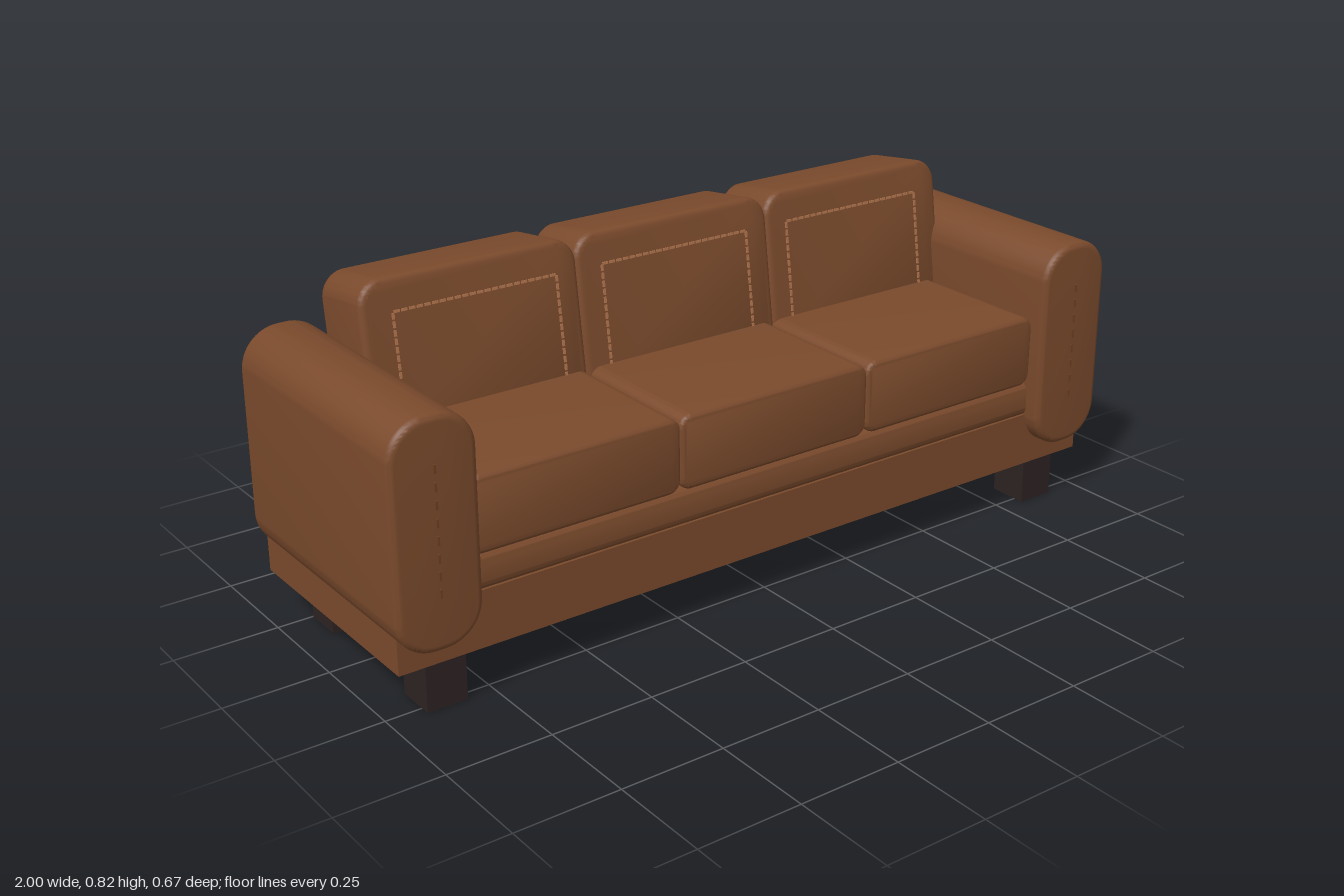
import * as THREE from 'three';
import { mergeGeometries, toCreasedNormals } from 'three/addons/utils/BufferGeometryUtils.js';

const leather = new THREE.MeshStandardMaterial({ color: 0x7a4a2c });
leather.name = 'brown leather';
const thread = new THREE.MeshStandardMaterial({ color: 0xae744c });
thread.name = 'tan thread';
const darkThread = new THREE.MeshStandardMaterial({ color: 0x6b3f24 });
darkThread.name = 'dark brown thread';
const darkWood = new THREE.MeshStandardMaterial({ color: 0x2d2222 });
darkWood.name = 'dark wood';

function add(parent, name, geometry, material, x = 0, y = 0, z = 0) {
  const mesh = new THREE.Mesh(geometry, material);
  mesh.name = name;
  mesh.position.set(x, y, z);
  parent.add(mesh);
  return mesh;
}

// Upholstered block: rounded outline in x and y, softly bevelled at both z ends
function padded(w, h, d, r, bevel) {
  const a = w / 2 - bevel, b = h / 2 - bevel, c = r - bevel;
  const s = new THREE.Shape();
  s.moveTo(-a + c, -b);
  s.lineTo(a - c, -b);
  s.absarc(a - c, -b + c, c, -Math.PI / 2, 0);
  s.lineTo(a, b - c);
  s.absarc(a - c, b - c, c, 0, Math.PI / 2);
  s.lineTo(-a + c, b);
  s.absarc(-a + c, b - c, c, Math.PI / 2, Math.PI);
  s.lineTo(-a, -b + c);
  s.absarc(-a + c, -b + c, c, Math.PI, Math.PI * 1.5);
  const g = new THREE.ExtrudeGeometry(s, {
    depth: d - 2 * bevel, bevelEnabled: true, bevelSize: bevel,
    bevelThickness: bevel, bevelSegments: 4, curveSegments: 10,
  });
  g.center();
  return toCreasedNormals(g, 0.6);
}

// Row of thin stitches from one point to another, in a plane facing +z
function stitches(x0, y0, x1, y1, count, fill, width, depth) {
  const out = [];
  const dx = (x1 - x0) / count, dy = (y1 - y0) / count;
  for (let i = 0; i < count; i++) {
    const g = new THREE.BoxGeometry(
      Math.max(Math.abs(dx) * fill, width), Math.max(Math.abs(dy) * fill, width), depth);
    g.translate(x0 + dx * (i + 0.5), y0 + dy * (i + 0.5), 0);
    out.push(g);
  }
  return out;
}

// Seat deck: flat back, rounded front edge, run along x
function deckGeometry() {
  const s = new THREE.Shape();
  const y0 = 0.245, y1 = 0.335, front = 0.288, r = 0.025;
  s.moveTo(-0.31, y0);
  s.lineTo(front - r, y0);
  s.absarc(front - r, y0 + r, r, -Math.PI / 2, 0);
  s.lineTo(front, y1 - r);
  s.absarc(front - r, y1 - r, r, 0, Math.PI / 2);
  s.lineTo(-0.31, y1);
  const g = new THREE.ExtrudeGeometry(s, { depth: 1.6, bevelEnabled: false, curveSegments: 6 });
  g.translate(0, 0, -0.8);
  g.rotateY(-Math.PI / 2);
  return toCreasedNormals(g, 0.6);
}

export function createModel() {
  const sofa = new THREE.Group();
  sofa.name = 'sofa';

  // Frame
  add(sofa, 'base', new THREE.BoxGeometry(1.96, 0.135, 0.595), leather, 0, 0.1825, -0.0125);
  add(sofa, 'seatDeck', deckGeometry(), leather);

  // Arms with a stitched line on the front, and legs
  const armGeo = padded(0.205, 0.525, 0.662, 0.092, 0.016);
  const armStitchGeo = mergeGeometries(stitches(0, 0.28, 0, 0.595, 8, 0.5, 0.005, 0.008));
  const legGeo = new THREE.BoxGeometry(0.097, 0.12, 0.099);
  for (const side of [-1, 1]) {
    const label = side > 0 ? 'left' : 'right';
    add(sofa, label + 'Arm', armGeo, leather, side * 0.8975, 0.4275, -0.002);
    add(sofa, label + 'ArmStitching', armStitchGeo, darkThread, side * 0.897, 0, 0.33);
    add(sofa, label + 'FrontLeg', legGeo, darkWood, side * 0.864, 0.06, 0.225);
    add(sofa, label + 'BackLeg', legGeo, darkWood, side * 0.864, 0.06, -0.2);
  }

  // Seat cushions
  const seatGeo = padded(0.535, 0.18, 0.48, 0.032, 0.012);
  for (const i of [-1, 0, 1]) {
    add(sofa, 'seatCushion', seatGeo, leather, i * 0.533, 0.422, 0.05);
  }

  // Reclined backrest: board, cushions and stitched panels
  const back = new THREE.Group();
  back.name = 'backrest';
  back.position.set(0, 0.6, -0.173);
  back.rotation.x = -THREE.MathUtils.degToRad(8);
  sofa.add(back);
  add(back, 'backBoard', new THREE.BoxGeometry(1.59, 0.23, 0.045), leather, 0, -0.095, -0.1025);
  const cushionGeo = padded(0.55, 0.42, 0.187, 0.06, 0.016);
  const panelGeo = mergeGeometries([
    ...stitches(-0.207, 0.133, 0.207, 0.133, 22, 0.75, 0.006, 0.006),
    ...stitches(-0.207, -0.13, -0.207, 0.133, 14, 0.75, 0.006, 0.006),
    ...stitches(0.207, -0.13, 0.207, 0.133, 14, 0.75, 0.006, 0.006),
  ]);
  for (const i of [-1, 0, 1]) {
    add(back, 'backCushion', cushionGeo, leather, i * 0.545, 0, 0);
    add(back, 'backCushionStitching', panelGeo, thread, i * 0.537, 0, 0.0935);
  }

  return sofa;
}
